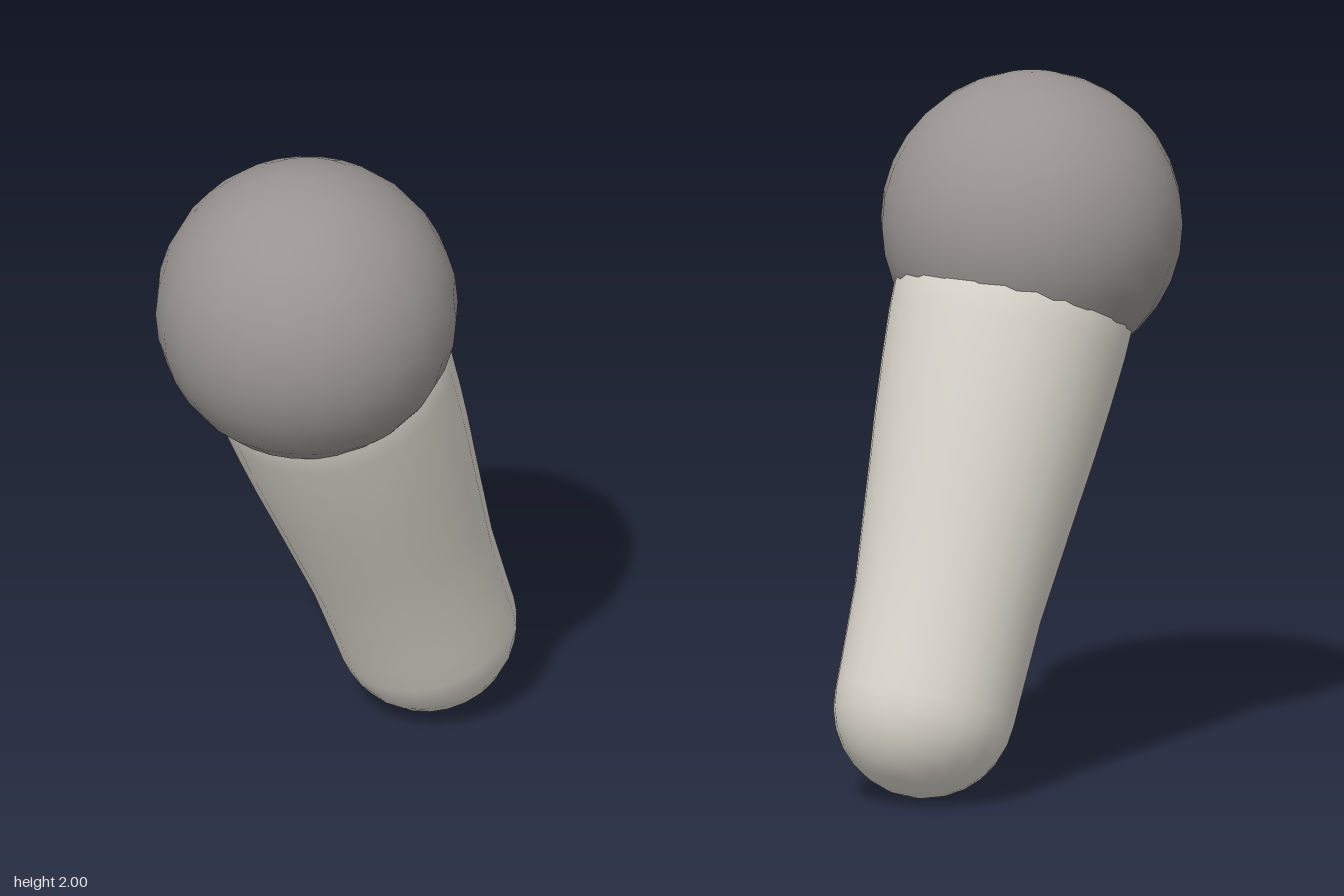
import * as THREE from 'three';

export function createModel() {
  const model = new THREE.Group();
  const darkGrey = new THREE.MeshStandardMaterial({ color: 0x999491 });
  darkGrey.name = 'warm grey';
  const ivory = new THREE.MeshStandardMaterial({ color: 0xd8d4ca });
  ivory.name = 'pale ivory';

  const headCentre = new THREE.Vector3(-0.205, 1.57, 0);
  const footCentre = new THREE.Vector3(0.375, 0.262, -0.045);

  // Round head
  const head = new THREE.Mesh(new THREE.SphereGeometry(0.432, 24, 16), darkGrey);
  head.name = 'head';
  head.position.copy(headCentre);
  model.add(head);

  // Tapered shaft: rounded tip, swelling sides, and a dome buried in the head
  const profile = [];
  for (let i = 0; i <= 7; i++) {
    const a = (i / 7) * Math.PI / 2;
    profile.push(new THREE.Vector2(0.261 * Math.sin(a), -0.261 * Math.cos(a)));
  }
  const sides = [[0.264, 0.1], [0.272, 0.31], [0.29, 0.49], [0.307, 0.66], [0.322, 0.8],
    [0.335, 0.95], [0.345, 1.1], [0.347, 1.2], [0.31, 1.36], [0.2, 1.47], [0, 1.52]];
  for (const [r, y] of sides) profile.push(new THREE.Vector2(r, y));

  const shaft = new THREE.Mesh(new THREE.LatheGeometry(profile, 24), ivory);
  shaft.name = 'shaft';
  shaft.position.copy(footCentre);
  shaft.quaternion.setFromUnitVectors(
    new THREE.Vector3(0, 1, 0), headCentre.clone().sub(footCentre).normalize());
  model.add(shaft);

  return model;
}
